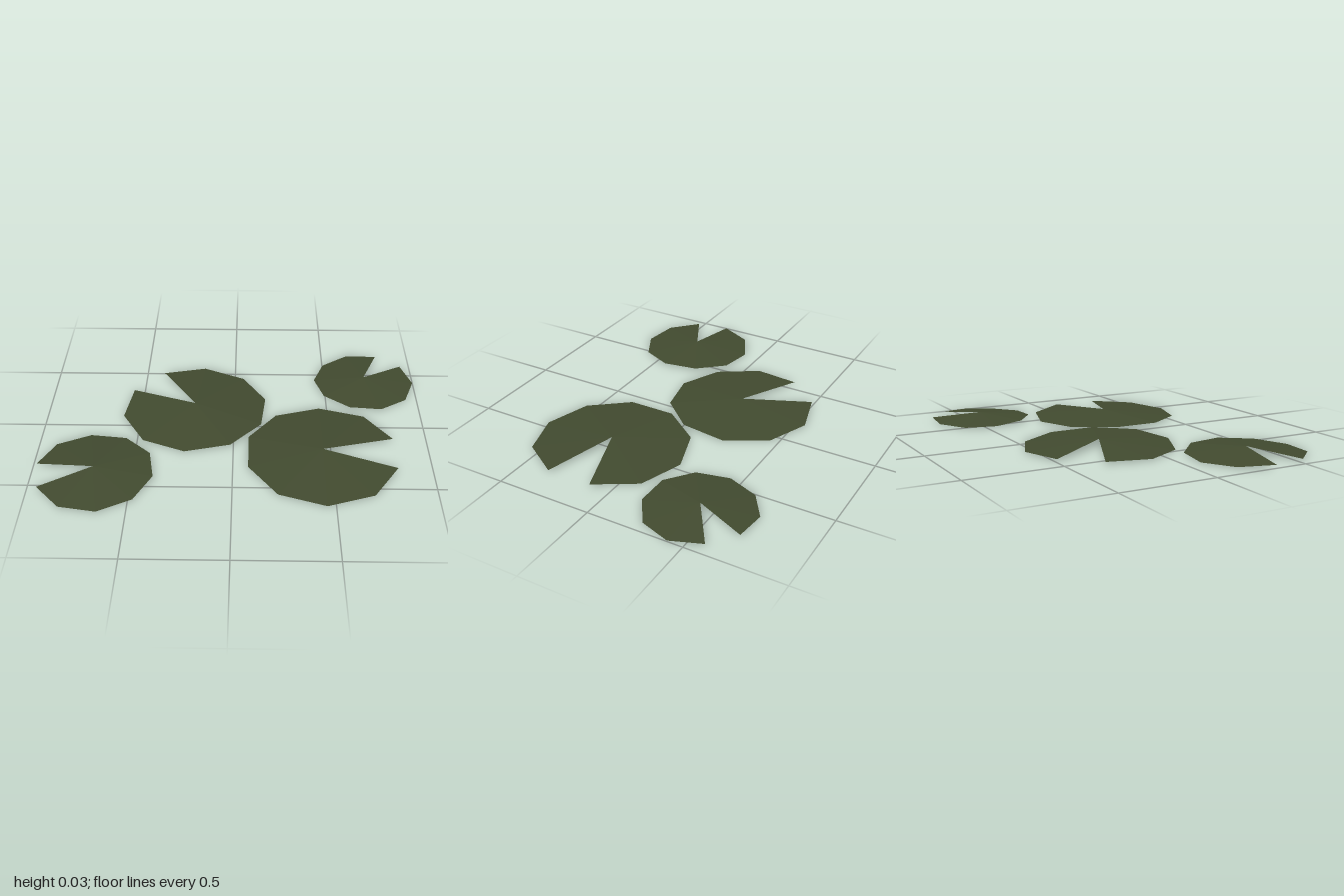
import * as THREE from 'three';

const leafGreen = new THREE.MeshStandardMaterial({ color: 0x414a2f, flatShading: true, side: THREE.DoubleSide });
leafGreen.name = 'leafGreen';

// Shallow ten-sided cone with one wedge left out; the rim lifts along the notch axis
function padGeometry(radius, apexY = 0.034, lift = 0.012) {
  const rim = [];
  for (let i = 0; i < 10; i++) {
    const a = THREE.MathUtils.degToRad(18 + 36 * i);
    const r = radius * (i === 0 || i === 9 ? 0.97 : 1);
    rim.push([r * Math.cos(a), lift * Math.cos(a) ** 2, r * Math.sin(a)]);
  }
  const points = [];
  for (let i = 0; i < 9; i++) points.push(0, apexY, 0, ...rim[i + 1], ...rim[i]);
  const geometry = new THREE.BufferGeometry();
  geometry.setAttribute('position', new THREE.Float32BufferAttribute(points, 3));
  geometry.computeVertexNormals();
  return geometry;
}

export function createModel() {
  const group = new THREE.Group();
  group.name = 'lilyPads';
  // centre, radius and direction of the notch
  const pads = [
    { name: 'frontPad', x: 0.458, z: 0.23, r: 0.4, notch: [1, 0] },
    { name: 'middlePad', x: -0.212, z: -0.163, r: 0.389, notch: [-0.28, -0.25] },
    { name: 'backLeftPad', x: 0.722, z: -0.43, r: 0.277, notch: [0.165, -0.21] },
    { name: 'frontRightPad', x: -0.693, z: 0.388, r: 0.303, notch: [-0.3, 0.05] },
  ];
  for (const { name, x, z, r, notch } of pads) {
    const pad = new THREE.Mesh(padGeometry(r), leafGreen);
    pad.name = name;
    pad.position.set(x, 0, z);
    pad.rotation.y = -Math.atan2(notch[1], notch[0]);
    group.add(pad);
  }
  return group;
}
